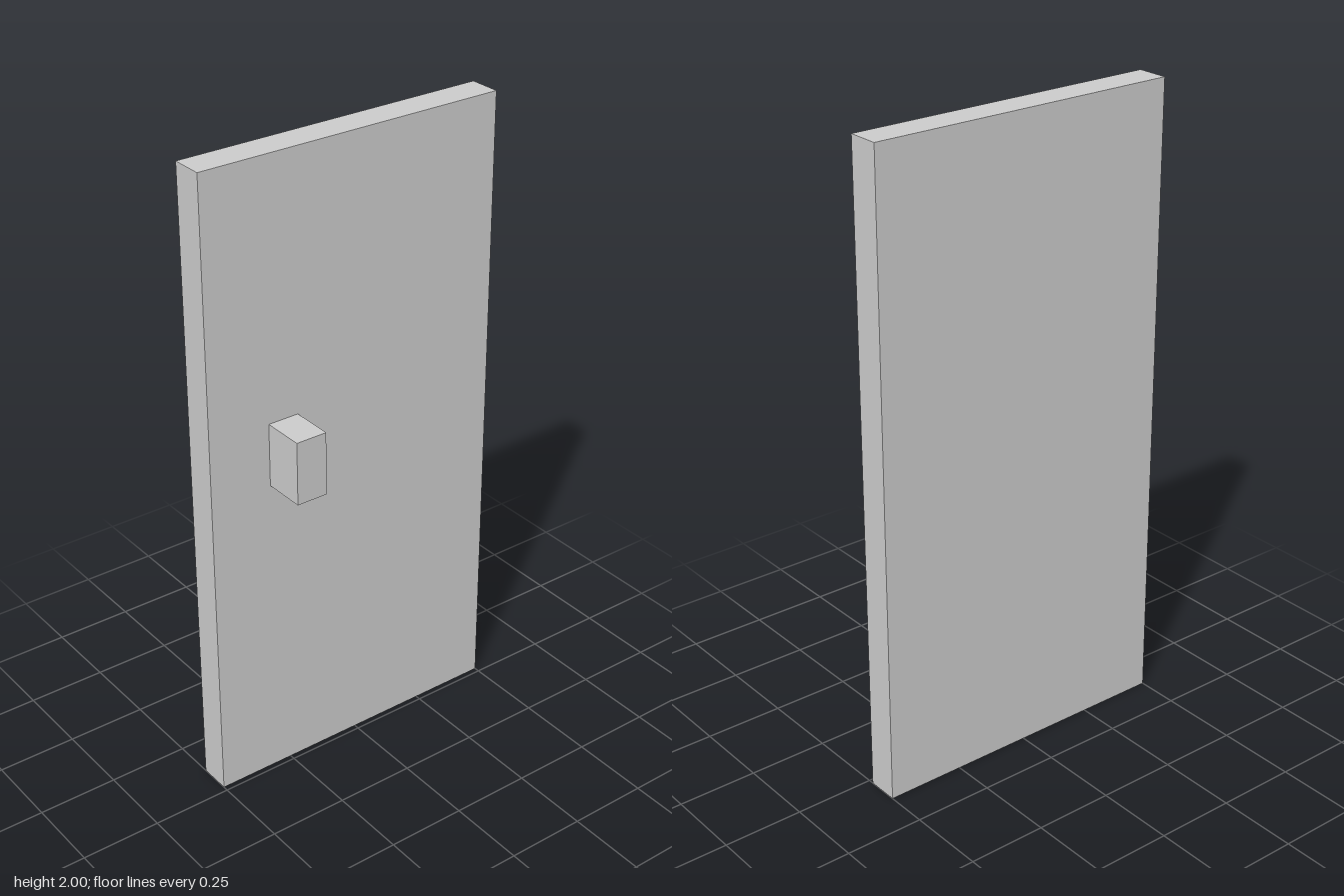
import * as THREE from 'three';

const material = new THREE.MeshStandardMaterial({ color: 0xcccccc, flatShading: true });

// Adds a named box given its size and centre
function addBox(group, name, size, centre) {
  const mesh = new THREE.Mesh(new THREE.BoxGeometry(...size), material);
  mesh.name = name;
  mesh.position.set(...centre);
  group.add(mesh);
}

export function createModel() {
  const door = new THREE.Group();
  door.name = 'door';

  // Flat door slab
  addBox(door, 'doorPanel', [1, 2, 0.1], [0, 1, -0.067]);

  // Block handle, slightly sunk into the front of the slab
  addBox(door, 'handle', [0.1, 0.2, 0.144], [-0.25, 1.1, 0.045]);

  return door;
}
